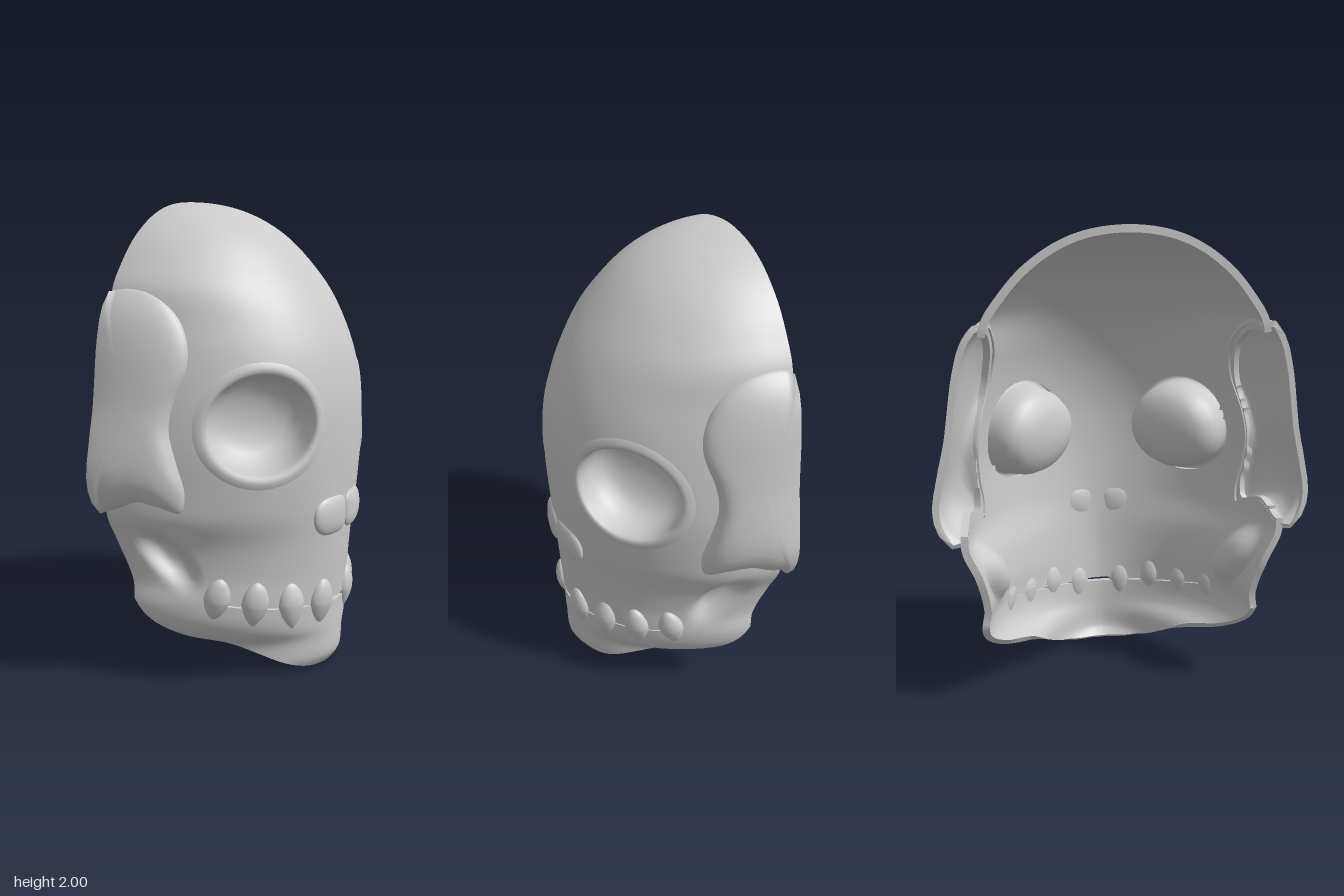
import * as THREE from 'three';
import { mergeVertices, toCreasedNormals } from 'three/addons/utils/BufferGeometryUtils.js';

const material = new THREE.MeshStandardMaterial({ color: 0xcccccc, side: THREE.DoubleSide });

// Smooth interpolation through [key, value] pairs with rising keys
function curve(pairs) {
  const n = pairs.length;
  const slope = i => {
    const a = pairs[Math.max(i - 1, 0)], b = pairs[Math.min(i + 1, n - 1)];
    return (b[1] - a[1]) / (b[0] - a[0]);
  };
  return k => {
    k = Math.min(Math.max(k, pairs[0][0]), pairs[n - 1][0]);
    let i = 0;
    while (i < n - 2 && k > pairs[i + 1][0]) i++;
    const d = pairs[i + 1][0] - pairs[i][0], t = (k - pairs[i][0]) / d, s = 1 - t;
    return pairs[i][1] * s * s * (1 + 2 * t) + pairs[i + 1][1] * t * t * (3 - 2 * t)
      + d * (slope(i) * t * s * s - slope(i + 1) * t * t * s);
  };
}
// Profiles by height; the square root keeps the crown round
const byHeight = pairs => {
  const f = curve(pairs.map(([y, v]) => [Math.sqrt(2 - y), v]));
  return y => f(Math.sqrt(Math.max(2 - y, 0)));
};
const frontX = byHeight([[2, -0.4], [1.97, -0.19], [1.87, 0.01], [1.72, 0.16], [1.55, 0.278], [1.38, 0.35],
  [1.2, 0.386], [1, 0.392], [0.75, 0.383], [0.5, 0.37], [0.3, 0.355], [0.15, 0.352], [0.05, 0.345], [0, 0.31]]);
const backX = byHeight([[2, -0.4], [1.8, -0.385], [1.4, -0.37], [0.8, -0.36], [0.6, -0.345], [0.5, -0.315], [0.4, -0.292], [0, -0.28]]);
const halfWidth = byHeight([[2, 0], [1.97, 0.2], [1.85, 0.405], [1.74, 0.505], [1.64, 0.57], [1.5, 0.597], [1.4, 0.618], [1.2, 0.65],
  [1, 0.67], [0.8, 0.675], [0.72, 0.67], [0.6, 0.62], [0.45, 0.59], [0.35, 0.6], [0.27, 0.58], [0.2, 0.52], [0.15, 0.44], [0.1, 0.42], [0, 0.43]]);
const roundness = curve([[0, 1.8], [0.15, 1.8], [0.35, 1.7], [0.6, 1.75], [0.85, 1.9], [1.05, 2], [2, 2]]);
const jawEdge = curve([[0, 0], [15, 0.007], [25, 0.025], [36, 0.055], [49, 0.105], [60, 0.15], [72, 0.195],
  [80, 0.245], [86, 0.305], [90, 0.37]]);
const mouthY = a => 0.305 + 0.06 * a * a;
const mouthGap = a => (0.003 + 0.006 * Math.exp(-25 * a * a)) * Math.min(1, Math.max(0, (1.05 - Math.abs(a)) * 12));

// Point on the skull at angle a (0 is the face centre) and height y
function surface(a, y) {
  const u = (Math.abs(a) - 1.28) / 0.115, v = (y - 0.56) / 0.095, p = roundness(y), bx = backX(y);
  const hollow = 1 - 0.1 * Math.exp(-Math.pow(u * u + v * v - 0.9 * u * v, 2));
  const c = Math.cos(a), s = Math.sin(a);
  const k = hollow * Math.pow(Math.abs(c) ** p + Math.abs(s) ** p, -1 / p);
  return new THREE.Vector3(bx + (frontX(y) - bx) * c * k, y, halfWidth(y) * s * k);
}
function surfaceNormal(a, y) {
  const e = 0.01;
  const da = surface(a + e, y).sub(surface(a - e, y)), dy = surface(a, y + e).sub(surface(a, y - e));
  return dy.cross(da).normalize();
}
// Fractions of depth and width for a point x, y on the side of the skull
function sideFractions(x, y) {
  const c = Math.min(1, Math.max(0, (x - backX(y)) / (frontX(y) - backX(y)))), p = roundness(y);
  return [c, Math.pow(1 - c ** p, 1 / p)];
}

// Sheet of rows and columns from point(i, j)
function sheet(rows, cols, point, keep = () => true) {
  const pos = [], idx = [];
  for (let i = 0; i <= rows; i++) for (let j = 0; j <= cols; j++) pos.push(...point(i, j).toArray());
  for (let i = 0; i < rows; i++) for (let j = 0; j < cols; j++) {
    const a = i * (cols + 1) + j, b = a + 1, c = a + cols + 1, d = c + 1;
    for (const t of [[a, b, c], [b, d, c]]) if (keep(t, i)) idx.push(...t);
  }
  const g = new THREE.BufferGeometry();
  g.setAttribute('position', new THREE.Float32BufferAttribute(pos, 3));
  g.setIndex(idx);
  const merged = mergeVertices(g, 1e-4);
  merged.computeVertexNormals();
  return merged;
}

// Give an open sheet an inner face and closed rims
function thicken(g, thickness) {
  const p = g.attributes.position, n = g.attributes.normal, count = p.count;
  const pos = Array.from(p.array), idx = [], edges = new Map();
  for (let i = 0; i < count; i++)
    pos.push(p.getX(i) - n.getX(i) * thickness, p.getY(i) - n.getY(i) * thickness, p.getZ(i) - n.getZ(i) * thickness);
  const src = g.index.array;
  for (let i = 0; i < src.length; i += 3) {
    const t = [src[i], src[i + 1], src[i + 2]];
    if (new Set(t).size < 3) continue;
    idx.push(...t, t[0] + count, t[2] + count, t[1] + count);
    t.forEach((v, k) => edges.set(v + '_' + t[(k + 1) % 3], [v, t[(k + 1) % 3]]));
  }
  for (const [a, b] of edges.values())
    if (!edges.has(b + '_' + a)) idx.push(b, a, a + count, b, a + count, b + count);
  const out = new THREE.BufferGeometry();
  out.setAttribute('position', new THREE.Float32BufferAttribute(pos, 3));
  out.setIndex(idx);
  return toCreasedNormals(out, 0.9);
}

// Temple plate outline: wavy front edge, then the straight back edge
const PLATE = { x: -0.22, y: 1.2, frontCount: 70 };
const plateOutline = new THREE.CatmullRomCurve3([[-0.37, 1.63], [-0.31, 1.64], [-0.2, 1.62], [-0.1, 1.55], [-0.04, 1.44],
  [-0.03, 1.34], [-0.07, 1.2], [-0.08, 1.1], [-0.05, 0.97], [-0.025, 0.85], [-0.045, 0.77], [-0.11, 0.79], [-0.2, 0.81],
  [-0.29, 0.775], [-0.36, 0.75]].map(([x, y]) => new THREE.Vector3(x, y, 0))).getPoints(PLATE.frontCount);
for (let k = 1; k <= 16; k++)
  plateOutline.push(new THREE.Vector3().lerpVectors(plateOutline[PLATE.frontCount], plateOutline[0], k / 16));
const onBackEdge = j => j === 0 || j >= PLATE.frontCount;

// Openings in the shell as outlines over angle and height
const EYE = { a: 0.655, y: 1.11, ra: 0.33, ry: 0.205 };
const eyeOpening = { a: EYE.a, y: EYE.y, outline: Array.from({ length: 49 }, (_, k) => {
  const th = k / 24 * Math.PI;
  return [EYE.ra * 1.11 * Math.cos(th), EYE.ry * 1.11 * Math.sin(th)];
}) };
const plateOpening = { a: 1.38, y: PLATE.y, outline: plateOutline.map((o, j) => {
  const y = (o.y - PLATE.y) * 0.9, [c, s] = sideFractions(PLATE.x + (o.x - PLATE.x) * 0.85, PLATE.y + y);
  return [(onBackEdge(j) ? 1.8 : Math.atan2(s, c)) - 1.38, y];
}) };
// Distance from an opening's centre, 1 on its outline
function openingRadius({ a, y, outline }, pa, py) {
  const dx = pa - a, dy = py - y;
  for (let k = 1; k < outline.length; k++) {
    const [px, pyy] = outline[k - 1], ex = outline[k][0] - px, ey = outline[k][1] - pyy;
    const det = dx * ey - dy * ex, t = (px * ey - pyy * ex) / det, w = (px * dy - pyy * dx) / det;
    if (t > 0 && w >= 0 && w <= 1) return 1 / t;
  }
  return 0;
}

// Skull shell with eye and temple openings and a mouth slit
function skullGeometry() {
  const upper = 110, lower = 18, cols = 120, radius = [];
  const point = (i, j) => {
    let a = (j / cols - 0.5) * Math.PI, y, nearest = Infinity;
    const m = mouthY(a), gap = mouthGap(a);
    if (i <= upper) y = 2 - (2 - m - gap) * (i / upper) ** 2;
    else {
      const low = jawEdge(Math.abs(a) * 180 / Math.PI), top = Math.max(m - gap, low + 0.01);
      y = top + (low - top) * (i - upper - 1) / lower;
    }
    // snap nearby points to the outlines
    for (const o of [eyeOpening, plateOpening]) {
      const u = Math.abs(a) - o.a, v = y - o.y;
      let r = openingRadius(o, Math.abs(a), y);
      if (r > 0 && Math.abs(1 - 1 / r) * Math.hypot(u, v) < 0.016) {
        a = Math.sign(a) * (o.a + u / r);
        y = o.y + v / r;
        r = 1;
      }
      nearest = Math.min(nearest, r);
    }
    radius.push(nearest);
    return surface(a, y);
  };
  const lipsJoined = k => Math.abs(((k % (cols + 1)) / cols - 0.5) * Math.PI) > 1.03;
  return thicken(sheet(upper + lower + 1, cols, point,
    (t, i) => t.some(k => radius[k] > 1.0001) && (i !== upper || lipsJoined(t[0]))), 0.03);
}

// Rounded eye bowl with a soft lip
function socketGeometry(side) {
  const profile = [[1.3, -0.006], [1.22, 0.001], [1.12, 0.004], [1.06, 0.002], [1.01, -0.005], [0.985, -0.025], [0.97, -0.07],
    [0.93, -0.115], [0.83, -0.158], [0.66, -0.19], [0.43, -0.21], [0.2, -0.22], [0, -0.222]];
  const inward = surfaceNormal(side * EYE.a, EYE.y);
  return sheet(profile.length - 1, 48, (i, j) => {
    const [r, d] = profile[i], th = j / 48 * Math.PI * 2;
    const a = side * EYE.a + EYE.ra * r * Math.cos(th), y = EYE.y - EYE.ry * r * Math.sin(th);
    return surface(a, y).addScaledVector(r > 1 ? surfaceNormal(a, y) : inward, d);
  });
}

// Hollow raised temple plate, open at the back
function plateGeometry(side) {
  const height = curve([[0.74, 0.025], [0.8, 0.08], [0.9, 0.107], [1.05, 0.09], [1.2, 0.072], [1.5, 0.074], [1.58, 0.055], [1.65, 0.015]]);
  const rings = [0, 0.2, 0.4, 0.55, 0.7, 0.8, 0.87, 0.92, 0.96, 0.985, 1, 1], last = plateOutline.length - 1;
  return thicken(sheet(rings.length - 1, last, (i, col) => {
    const j = side > 0 ? col : last - col, r = rings[i], o = plateOutline[j];
    const x = PLATE.x + (o.x - PLATE.x) * r, y = PLATE.y + (o.y - PLATE.y) * r;
    const taper = 1 - 0.5 * Math.max(0, (x + 0.37) / 0.34) ** 1.5;
    const edge = onBackEdge(j) ? 1 : 0.1 + 0.9 * Math.sqrt(1 - r ** 7);
    const rise = i === rings.length - 1 && !onBackEdge(j) ? -0.03 : height(y) * taper * edge;
    return new THREE.Vector3(x, y, side * (halfWidth(y) * sideFractions(x, y)[1] + rise));
  }), 0.025);
}

// Nose pad: rounded outside, squarer towards the middle
function nosePadGeometry(side) {
  const g = new THREE.SphereGeometry(1, 40, 28), p = g.attributes.position;
  for (let i = 0; i < p.count; i++) {
    const y = p.getY(i), z = p.getZ(i), r = Math.hypot(y, z), n = z * side < 0 ? 3.5 : 2.2;
    const k = r > 0 ? r / (Math.abs(y) ** n + Math.abs(z) ** n) ** (1 / n) : 1;
    p.setXYZ(i, p.getX(i) * 0.032, y * k * 0.085, z * k * 0.099);
  }
  g.computeVertexNormals();
  return g;
}

export function createModel() {
  const group = new THREE.Group();
  const add = (name, geometry) => {
    const mesh = new THREE.Mesh(geometry, material);
    mesh.name = name;
    group.add(mesh);
    return mesh;
  };
  add('skullShell', skullGeometry());

  // Pointed teeth: [angle in degrees, y, half width, half height, lean]
  const teeth = [[10.9, 0.31, 0.06, 0.108, -0.12], [26, 0.33, 0.058, 0.105, 0.06],
    [41.8, 0.35, 0.058, 0.102, -0.15], [57.4, 0.38, 0.055, 0.1, -0.25]];
  const toothProfile = [[0, -1], [0.36, -0.8], [0.74, -0.45], [0.95, -0.1], [1, 0.12], [0.9, 0.42], [0.62, 0.74], [0.28, 0.94], [0, 1]]
    .map(([x, y]) => new THREE.Vector2(x, y));
  const toothGeometry = new THREE.LatheGeometry(new THREE.SplineCurve(toothProfile).getPoints(24)
    .map(p => p.set(Math.max(p.x, 0), p.y)), 20);

  for (const side of [1, -1]) {
    const label = side > 0 ? 'left' : 'right';
    add(label + 'EyeSocket', socketGeometry(side));
    add(label + 'TemplePlate', plateGeometry(side));

    const nose = add(label + 'NosePad', nosePadGeometry(side));
    nose.position.set(0.362, 0.7, side * 0.098);
    nose.rotation.y = -side * 0.2;

    teeth.forEach(([degrees, y, w, h, lean], k) => {
      const a = side * degrees * Math.PI / 180, n = surfaceNormal(a, y);
      const tooth = add(label + 'Tooth' + (k + 1), toothGeometry);
      tooth.position.copy(surface(a, y)).addScaledVector(n, -0.005);
      tooth.scale.set(0.038, h, w);
      tooth.rotation.set(0, -Math.atan2(n.z, n.x), lean, 'ZYX');
    });
  }
  return group;
}
